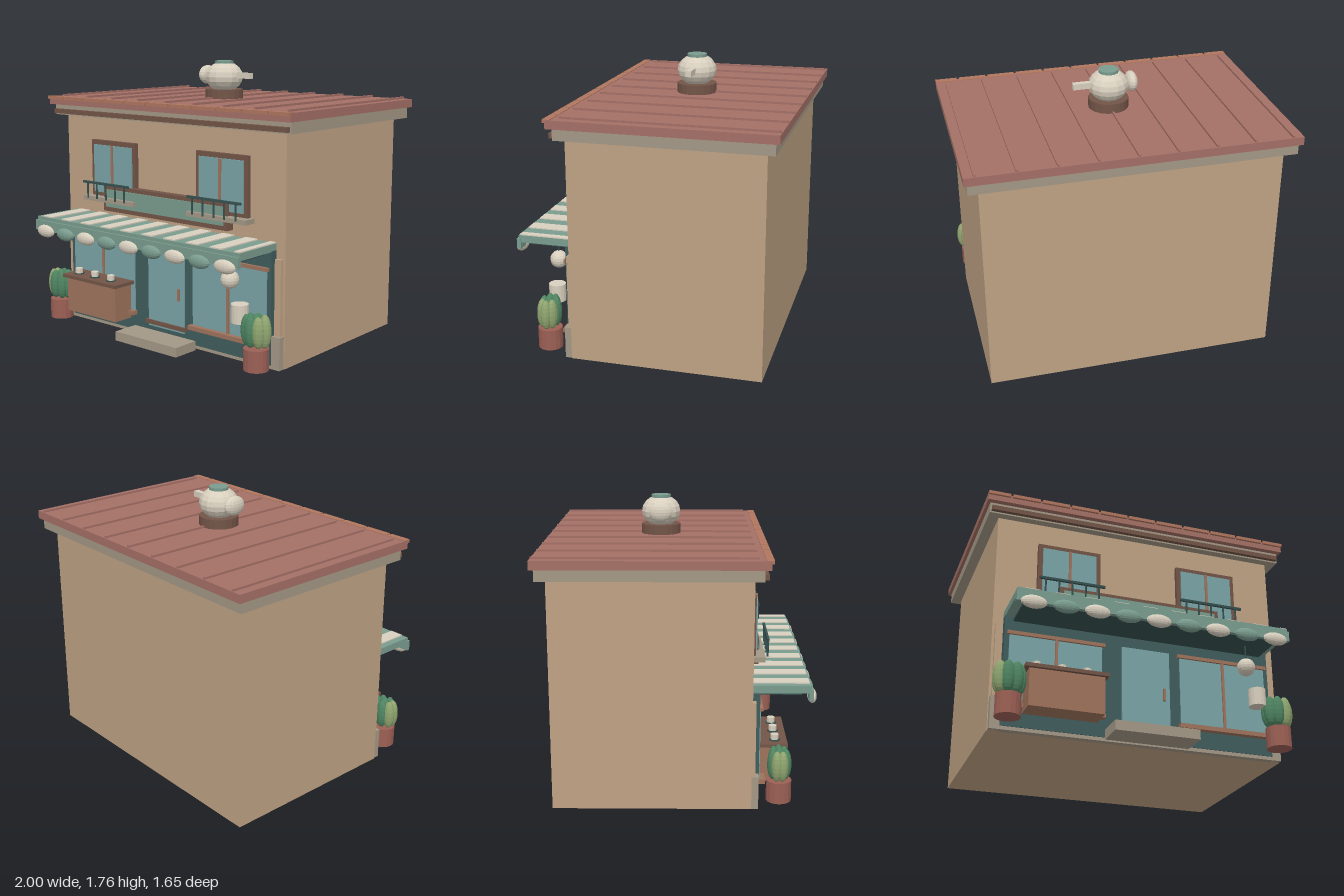
import * as THREE from 'three';

const COLORS = {
  wall: 0xbfa284, roof: 0xa47066, tile: 0xb0765f, trim: 0x735548, wood: 0x9e735c,
  stone: 0xa39886, teal: 0x7a9c8f, glass: 0x7aa3a6, dark: 0x3f5c5c, rail: 0x36504f,
  cream: 0xd8cfbe, pot: 0x9c6055, leaf: 0x4f8562, leafLight: 0x8fa56f,
};
const mats = {};
for (const [key, color] of Object.entries(COLORS)) {
  mats[key] = new THREE.MeshStandardMaterial({ color, flatShading: true });
}

export function createModel() {
  const model = new THREE.Group();
  model.name = 'teaShop';

  const add = (name, geometry, mat, parent = model) => {
    const mesh = new THREE.Mesh(geometry, mats[mat]);
    mesh.name = name;
    parent.add(mesh);
    return mesh;
  };
  const group = (name) => {
    const g = new THREE.Group();
    g.name = name;
    model.add(g);
    return g;
  };
  // Box given by its limits on each axis
  const box = (name, mat, x0, x1, y0, y1, z0, z1, parent) => {
    const m = add(name, new THREE.BoxGeometry(x1 - x0, y1 - y0, z1 - z0), mat, parent);
    m.position.set((x0 + x1) / 2, (y0 + y1) / 2, (z0 + z1) / 2);
    return m;
  };
  const cylinder = (name, mat, x, y0, y1, z, r, parent, sides = 16) => {
    const m = add(name, new THREE.CylinderGeometry(r, r, y1 - y0, sides), mat, parent);
    m.position.set(x, (y0 + y1) / 2, z);
    return m;
  };
  const ellipsoid = (name, mat, x, y, z, rx, ry, rz, parent) => {
    const m = add(name, new THREE.SphereGeometry(1, 14, 10), mat, parent);
    m.position.set(x, y, z);
    m.scale.set(rx, ry, rz);
    return m;
  };

  // Building body, cornice and roof
  box('body', 'wall', -0.915, 0.915, 0, 1.4, -0.745, 0.44);
  box('cornice', 'stone', -0.98, 0.98, 1.395, 1.465, -0.8, 0.49);
  box('corniceTrim', 'trim', -0.97, 0.97, 1.405, 1.435, 0.48, 0.515);
  const roof = group('roof');
  box('roofSlab', 'roof', -1, 1, 1.465, 1.517, -0.825, 0.525, roof);
  for (let i = 0; i < 9; i++) {
    const x = -0.936 + i * 0.234;
    box('roofRib', 'roof', x - 0.007, x + 0.007, 1.51, 1.53, -0.82, 0.46, roof);
  }
  for (let i = 0; i < 11; i++) {
    const x = -0.95 + i * 0.19;
    box('eaveTile', 'tile', Math.max(x - 0.088, -1), Math.min(x + 0.088, 1), 1.5, 1.521, 0.495, 0.54, roof);
  }

  // Rooftop teapot
  const teapot = group('teapot');
  const pz = -0.115;
  cylinder('teapotBase', 'trim', 0, 1.515, 1.577, pz, 0.125, teapot, 20);
  ellipsoid('teapotBody', 'cream', 0, 1.658, pz, 0.125, 0.1, 0.125, teapot);
  cylinder('teapotLid', 'teal', 0, 1.742, 1.762, pz, 0.062, teapot);
  ellipsoid('teapotHandle', 'cream', -0.145, 1.667, pz, 0.038, 0.062, 0.077, teapot);
  box('teapotSpout', 'cream', 0.08, 0.225, 1.65, 1.687, pz - 0.018, pz + 0.018, teapot);

  // Upper windows, each with a sill and a railing
  for (const cx of [-0.457, 0.457]) {
    const win = group('upperWindow');
    box('windowFrame', 'trim', cx - 0.2, cx + 0.2, 0.875, 1.245, 0.44, 0.467, win);
    box('windowPane', 'glass', cx - 0.172, cx + 0.172, 0.9, 1.215, 0.46, 0.477, win);
    box('windowMullion', 'wood', cx - 0.008, cx + 0.008, 0.9, 1.215, 0.46, 0.486, win);
    box('windowSill', 'stone', cx - 0.23, cx + 0.23, 0.845, 0.875, 0.44, 0.525, win);
    box('topRail', 'rail', cx - 0.207, cx + 0.207, 0.964, 0.979, 0.534, 0.548, win);
    for (let i = 0; i < 5; i++) {
      cylinder('baluster', 'rail', cx - 0.168 + i * 0.084, 0.865, 0.97, 0.541, 0.006, win, 8);
    }
  }

  // Blank sign board
  box('signFrame', 'trim', -0.525, 0.525, 0.785, 0.955, 0.44, 0.493);
  box('signPanel', 'teal', -0.497, 0.497, 0.815, 0.93, 0.48, 0.502);

  // Shop front
  const front = group('shopFront');
  box('plinth', 'stone', -0.91, 0.91, 0, 0.2, 0.43, 0.482, front);
  box('frontPanel', 'dark', -0.85, 0.85, 0.022, 0.71, 0.43, 0.486, front);
  for (const s of [-1, 1]) {
    box('pilaster', 'wall', s * 0.877 - 0.022, s * 0.877 + 0.022, 0, 0.66, 0.43, 0.462, front);
    const cx = s * 0.535;
    box('shopWindowPane', 'glass', cx - 0.285, cx + 0.285, 0.14, 0.6, 0.47, 0.493, front);
    box('shopWindowMullion', 'wood', cx - 0.008, cx + 0.008, 0.14, 0.6, 0.47, 0.504, front);
    box('shopWindowHead', 'wood', cx - 0.3, cx + 0.3, 0.588, 0.61, 0.47, 0.506, front);
    box('shopWindowSill', 'wood', cx - 0.3, cx + 0.3, 0.128, 0.155, 0.47, 0.525, front);
  }
  box('door', 'glass', -0.125, 0.18, 0.08, 0.61, 0.47, 0.496, front);
  box('doorKickRail', 'trim', -0.145, 0.195, 0.095, 0.122, 0.47, 0.508, front);
  box('doorHandle', 'wood', 0.135, 0.148, 0.288, 0.365, 0.49, 0.512, front);
  box('step', 'stone', -0.235, 0.285, 0, 0.06, 0.51, 0.69, front);

  // Striped awning with a valance and bunting
  const awning = group('awning');
  box('awningSlab', 'teal', -0.85, 0.85, 0.705, 0.75, 0.43, 0.785, awning);
  for (let i = 0; i < 10; i++) {
    const x = -0.805 + i * 0.179;
    box('awningStripe', 'cream', x, Math.min(x + 0.0895, 0.848), 0.74, 0.757, 0.44, 0.778, awning);
  }
  box('valance', 'teal', -0.857, 0.853, 0.662, 0.728, 0.772, 0.798, awning);
  box('awningUnderside', 'rail', -0.8, 0.8, 0.68, 0.693, 0.44, 0.735, awning);
  for (let i = 0; i < 9; i++) {
    ellipsoid('buntingLantern', i % 2 ? 'teal' : 'cream', -0.756 + i * 0.189, 0.663, 0.798, 0.078, 0.041, 0.028, awning);
  }

  // Hanging globe and small cylindrical lamp
  cylinder('globeCord', 'rail', 0.643, 0.58, 0.685, 0.612, 0.005, model, 8);
  ellipsoid('globe', 'cream', 0.643, 0.535, 0.612, 0.056, 0.056, 0.056);
  cylinder('cylinderLamp', 'cream', 0.71, 0.287, 0.398, 0.602, 0.053);

  // Serving counter with cups
  const counter = group('counter');
  box('counterBody', 'wood', -0.73, -0.28, 0.1, 0.33, 0.5, 0.645, counter);
  box('counterTop', 'trim', -0.755, -0.26, 0.328, 0.35, 0.49, 0.665, counter);
  for (const x of [-0.675, -0.523, -0.372]) {
    cylinder('saucer', 'rail', x, 0.349, 0.356, 0.59, 0.034, counter, 12);
    cylinder('cup', 'cream', x, 0.354, 0.388, 0.59, 0.025, counter, 12);
  }

  // Potted plants: a ring of upright leaves around a core
  for (const s of [-1, 1]) {
    const plant = group('pottedPlant');
    const cx = s * 0.836, cz = 0.607;
    cylinder('pot', 'pot', cx, 0.03, 0.16, cz, 0.076, plant);
    ellipsoid('coreLeaf', 'leaf', cx, 0.262, cz, 0.045, 0.1, 0.04, plant);
    for (let i = 0; i < 7; i++) {
      const a = (i / 7) * Math.PI * 2;
      const outer = s * Math.cos(a);
      ellipsoid('leaf', outer > 0.5 ? 'leafLight' : 'leaf',
        cx + Math.cos(a) * 0.061, 0.262, cz + Math.sin(a) * 0.04, 0.04, 0.095, 0.034, plant);
    }
  }

  return model;
}
